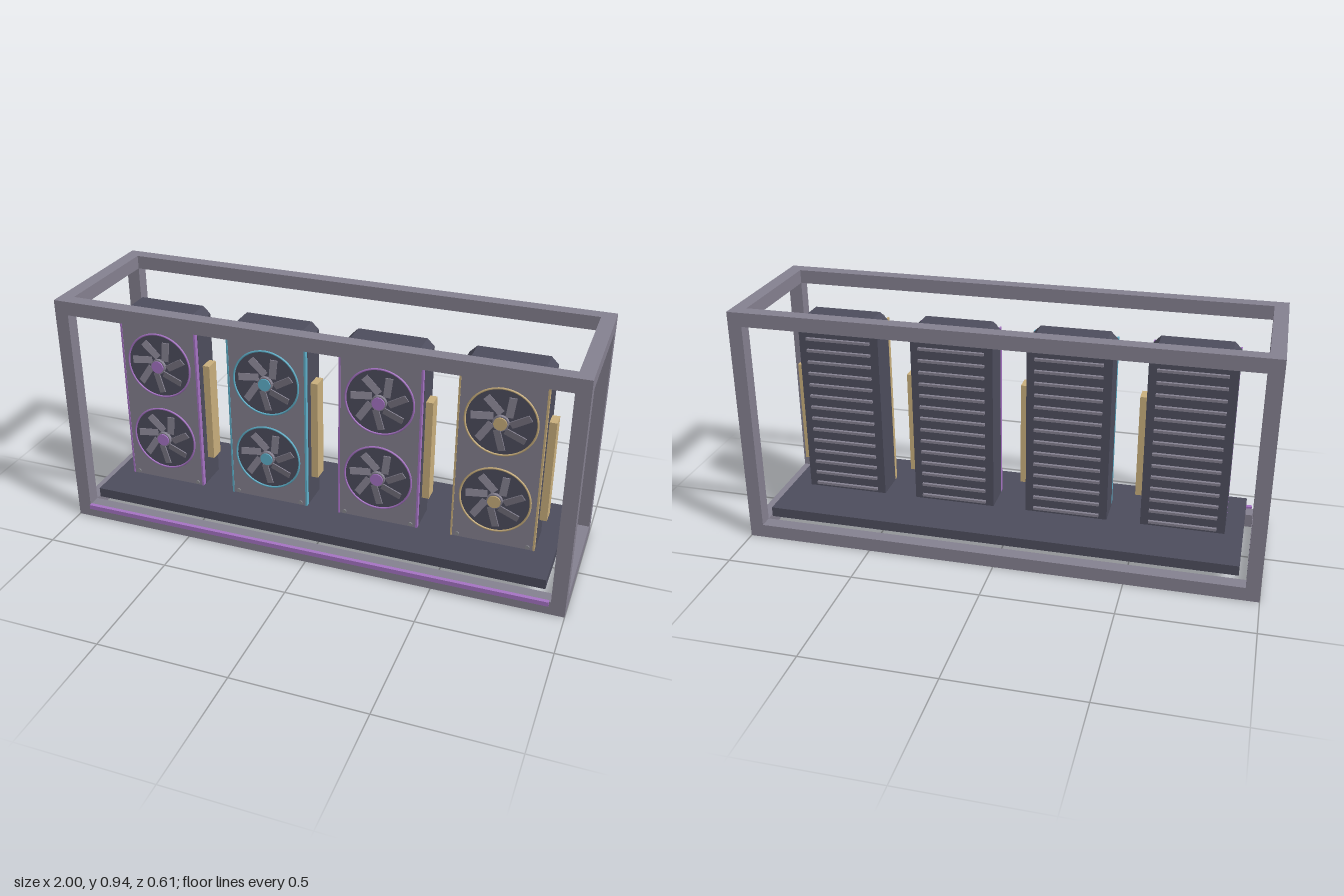
import * as THREE from 'three';

const mat = (name, color) => {
  const m = new THREE.MeshStandardMaterial({ color });
  m.name = name;
  return m;
};

export function createModel() {
  const grey = mat('frame grey', 0x858190);
  const dark = mat('dark slate', 0x4d4d5d);
  const steel = mat('steel', 0x88888e);
  const gold = mat('gold', 0xc9af7d);
  const purple = mat('purple', 0xa673c4);
  const cyan = mat('cyan', 0x5fb0ca);

  const root = new THREE.Group();
  root.name = 'cardRack';

  const add = (parent, name, geometry, material, x = 0, y = 0, z = 0) => {
    const mesh = new THREE.Mesh(geometry, material);
    mesh.name = name;
    mesh.position.set(x, y, z);
    parent.add(mesh);
    return mesh;
  };
  // Box given by its lower and upper corners
  const box = (parent, name, material, [x0, y0, z0], [x1, y1, z1]) =>
    add(parent, name, new THREE.BoxGeometry(x1 - x0, y1 - y0, z1 - z0), material,
      (x0 + x1) / 2, (y0 + y1) / 2, (z0 + z1) / 2);
  // Disc facing the front, from z0 to z1
  const disc = (parent, name, material, r, z0, z1, x = 0, y = 0, sides = 24) =>
    add(parent, name, new THREE.CylinderGeometry(r, r, z1 - z0, sides).rotateX(Math.PI / 2),
      material, x, y, (z0 + z1) / 2);

  // Open frame: four posts, four long rails, four short rails
  const frame = new THREE.Group();
  frame.name = 'frame';
  root.add(frame);
  const H = 0.945, B = 0.054, ZB = -0.305, ZF = 0.291;
  for (const z of [ZB, ZF - B]) {
    for (const x of [-1, 1 - B]) box(frame, 'post', grey, [x, 0, z], [x + B, H, z + B]);
    for (const y of [0, H - B]) box(frame, 'longRail', grey, [-1 + B, y, z], [1 - B, y + B, z + B]);
  }
  for (const x of [-1, 1 - B])
    for (const y of [0, H - B]) box(frame, 'sideRail', grey, [x, y, ZB + B], [x + B, y + B, ZF - B]);

  // Shelf and glowing strip along the lower front rail
  box(root, 'shelf', dark, [-0.917, 0.08, -0.27], [0.917, 0.119, 0.256]);
  box(root, 'lightStrip', purple, [-0.94, 0.044, ZF], [0.94, 0.062, 0.307]);

  // Upright slab with cut top corners
  const slab = (w, y0, y1, cut, z0, z1) => {
    const s = new THREE.Shape();
    s.moveTo(-w, y0);
    s.lineTo(w, y0);
    s.lineTo(w, y1 - cut);
    s.lineTo(w - cut, y1);
    s.lineTo(-w + cut, y1);
    s.lineTo(-w, y1 - cut);
    return new THREE.ExtrudeGeometry(s, { depth: z1 - z0, bevelEnabled: false }).translate(0, 0, z0);
  };

  const buildFan = (accent, y) => {
    const fan = new THREE.Group();
    fan.name = 'fan';
    fan.position.y = y;
    disc(fan, 'fanWell', dark, 0.133, 0.088, 0.0945, 0, 0, 40);
    add(fan, 'fanRing', new THREE.TorusGeometry(0.133, 0.004, 8, 48), accent, 0, 0, 0.095);
    // Seven swept, slightly pitched blades
    for (let i = 0; i < 7; i++) {
      const arm = new THREE.Group();
      arm.name = 'bladeArm';
      arm.rotation.z = (i / 7) * Math.PI * 2 + 0.2;
      const blade = add(arm, 'blade', new THREE.BoxGeometry(0.082, 0.028, 0.004), grey, 0.072, 0, 0.098);
      blade.rotation.set(0.2, 0, 0.35);
      fan.add(arm);
    }
    disc(fan, 'hub', grey, 0.03, 0.094, 0.108);
    disc(fan, 'hubCap', accent, 0.025, 0.108, 0.113);
    return fan;
  };

  const buildCard = (accent, x) => {
    const card = new THREE.Group();
    card.name = 'card';
    card.position.x = x;
    const W = 0.162;
    add(card, 'body', slab(W, 0.119, 0.855, 0.028, -0.05, 0.07), dark);
    add(card, 'faceplate', slab(0.155, 0.12, 0.84, 0.022, 0.07, 0.09), grey);
    // Coloured trim down both edges of the face
    for (const s of [-1, 1]) {
      const a = s * 0.155, b = s * W;
      box(card, 'edgeTrim', accent, [Math.min(a, b), 0.12, 0.072], [Math.max(a, b), 0.838 - 0.01, 0.092]);
      for (const y of [0.132, 0.83]) disc(card, 'screw', steel, 0.008, 0.088, 0.095, s * 0.135, y, 10);
    }
    for (const y of [0.313, 0.638]) card.add(buildFan(accent, y));
    // Cooling ribs on the back
    for (let i = 0; i < 15; i++) {
      const y = 0.137 + i * 0.0484;
      box(card, 'rib', grey, [-0.13, y - 0.005, -0.062], [0.13, y + 0.005, -0.05]);
    }
    // Connector bar on the card's left side
    box(card, 'sideBar', gold, [W, 0.228, -0.02], [W + 0.028, 0.64, 0.04]);
    // Bracket and ports under the shelf
    box(card, 'bracket', grey, [-0.15, 0.064, -0.072], [0.15, 0.08, 0.074]);
    for (let i = 0; i < 4; i++) {
      const px = -0.09 + i * 0.06;
      box(card, 'port', dark, [px - 0.018, 0.059, 0.028], [px + 0.018, 0.079, 0.082]);
    }
    return card;
  };

  [purple, cyan, purple, gold].forEach((accent, i) => root.add(buildCard(accent, -0.686 + i * 0.455)));
  return root;
}
